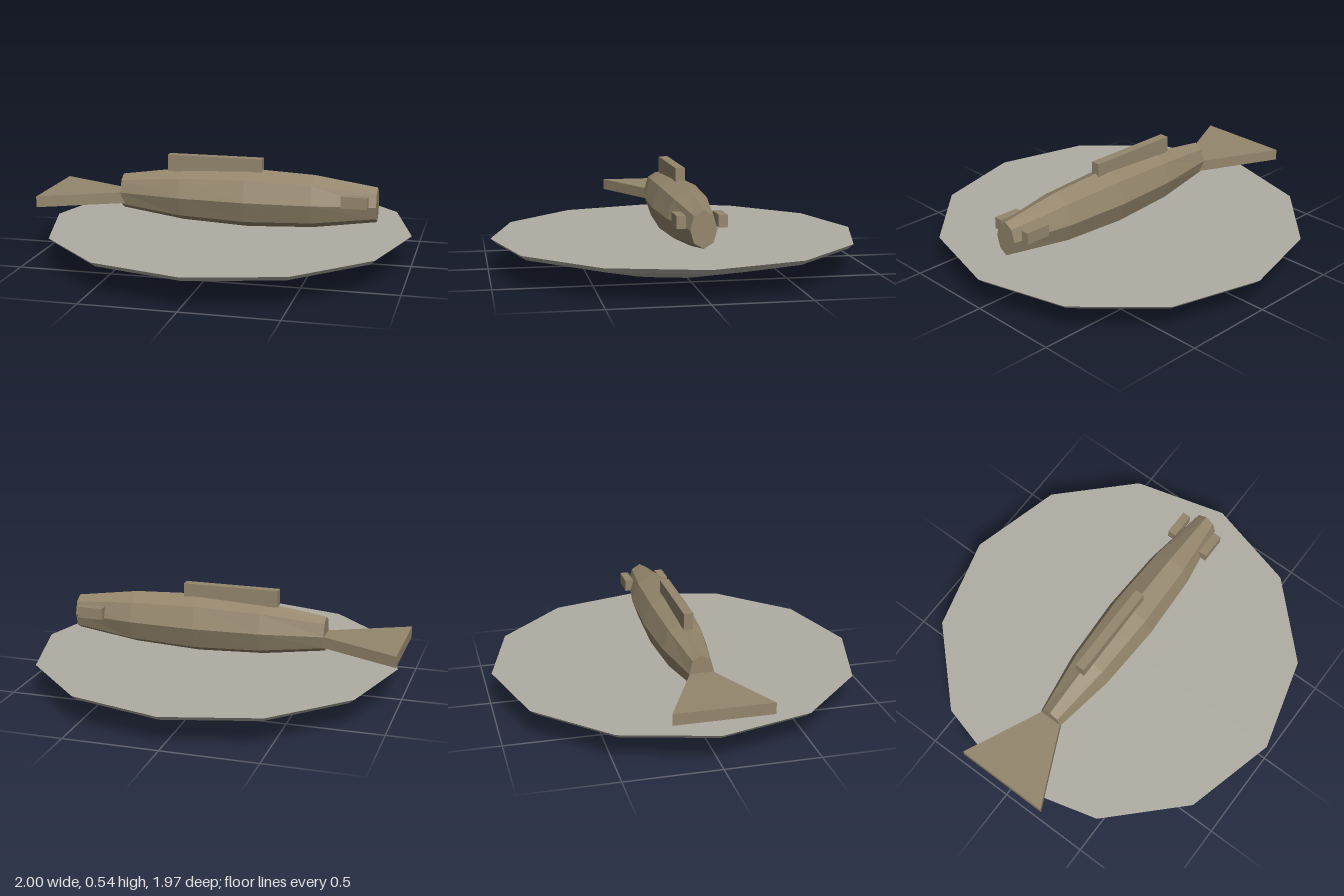
import * as THREE from 'three';

export function createModel() {
  const model = new THREE.Group();
  const stone = new THREE.MeshStandardMaterial({ color: 0xb0ada3, flatShading: true });
  stone.name = 'pale grey plate';
  const brown = new THREE.MeshStandardMaterial({ color: 0x94866c, flatShading: true });
  brown.name = 'fish brown';

  const add = (name, geometry, material, x = 0, y = 0, z = 0) => {
    const mesh = new THREE.Mesh(geometry, material);
    mesh.name = name;
    mesh.position.set(x, y, z);
    model.add(mesh);
    return mesh;
  };

  // Twelve-sided plate with a flat top and a shallow sloping underside
  const profile = [[0, 0], [0.39, 0], [0.57, 0.042], [0.955, 0.14], [0.985, 0.166], [0, 0.166]]
    .map(([r, y]) => new THREE.Vector2(r, y));
  add('plate', new THREE.LatheGeometry(profile, 12), stone, 0.013);

  // Eight-sided body: each ring of a cylinder is moved to its station
  const stations = [ // x, half height, half width
    [-0.585, 0.094, 0.065],
    [-0.245, 0.143, 0.119],
    [0.115, 0.16, 0.137],
    [0.475, 0.143, 0.121],
    [0.813, 0.094, 0.067],
  ];
  const body = new THREE.CylinderGeometry(1, 1, 4, 8, 4);
  body.rotateZ(-Math.PI / 2);
  const p = body.attributes.position;
  for (let i = 0; i < p.count; i++) {
    const [x, h, w] = stations[Math.round(p.getX(i) + 2)];
    p.setXYZ(i, x, p.getY(i) * h, p.getZ(i) * w);
  }
  body.computeVertexNormals();
  add('body', body, brown, 0, 0.325, 0);

  // Wedge-shaped tail, its tip sunk into the body
  const wedge = new THREE.Shape([
    new THREE.Vector2(-1, -0.255),
    new THREE.Vector2(-0.455, 0),
    new THREE.Vector2(-1, 0.255),
  ]);
  const tail = new THREE.ExtrudeGeometry(wedge, { depth: 0.06, bevelEnabled: false });
  tail.rotateX(-Math.PI / 2);
  add('tail', tail, brown, 0, 0.265, 0);

  // Fin along the back
  add('backFin', new THREE.BoxGeometry(0.52, 0.09, 0.05), brown, -0.065, 0.497, 0);

  // Small blocks on both sides of the head
  for (const [name, side] of [['frontEye', 1], ['rearEye', -1]]) {
    add(name, new THREE.BoxGeometry(0.14, 0.062, 0.045), brown, 0.705, 0.356, side * 0.103);
  }

  return model;
}
